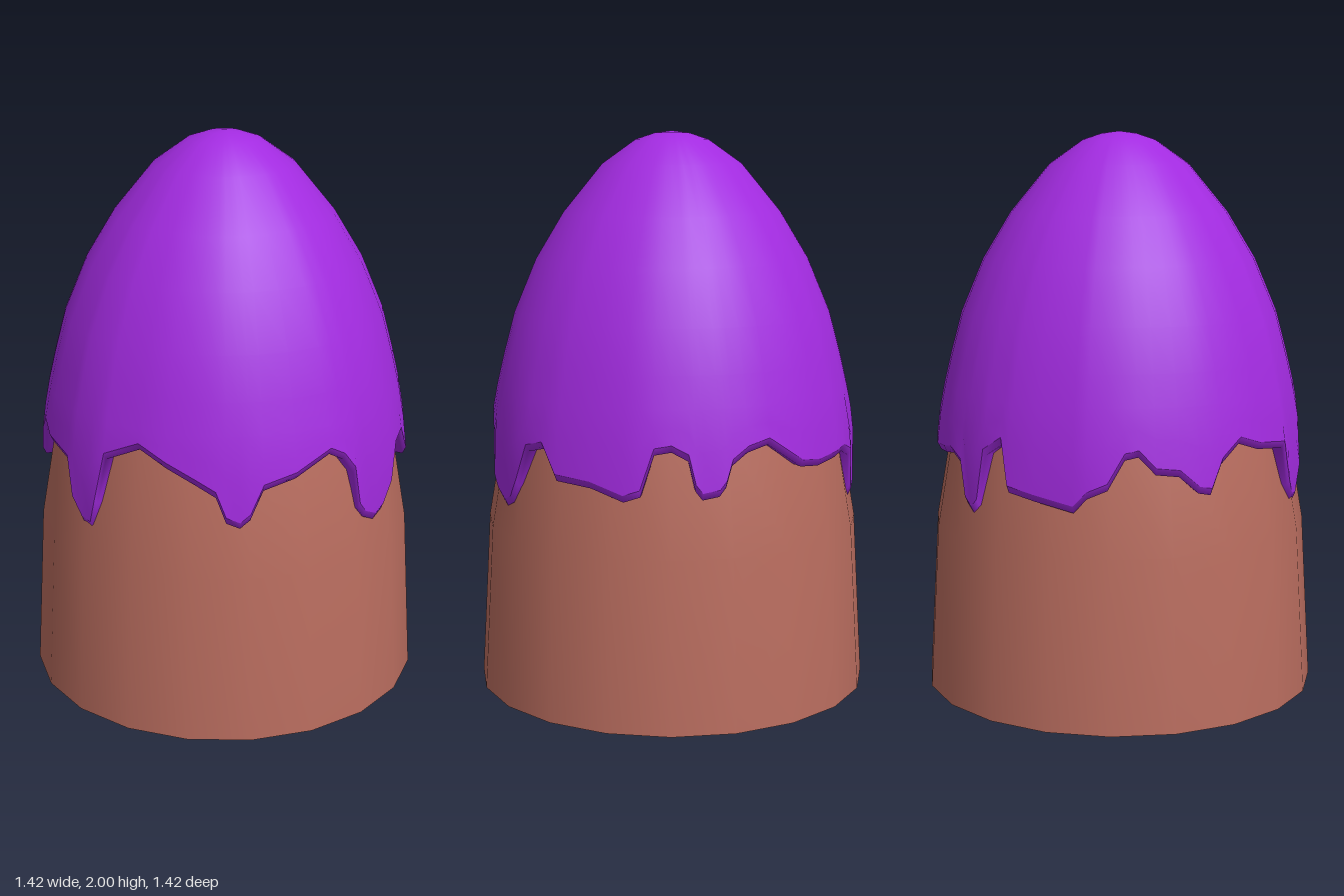
import * as THREE from 'three';

// Radius of a [radius, height] profile (ordered upwards) at height y
function radiusAt(profile, y) {
  for (let i = 1; i < profile.length; i++) {
    const [r0, y0] = profile[i - 1], [r1, y1] = profile[i];
    if (y <= y1) return r0 + (r1 - r0) * (y - y0) / (y1 - y0);
  }
  return 0;
}

const BODY = [[0.71, 0], [0.675, 0.6], [0.605, 1.0], [0.52, 1.35], [0.42, 1.58], [0.25, 1.78], [0, 1.9]];
const ICING = [[0.655, 0.65], [0.664, 0.75], [0.672, 0.85], [0.655, 1.0], [0.636, 1.1]];
const DOME = [[0, 2], [0.06, 1.993], [0.13, 1.97], [0.25, 1.885], [0.39, 1.715],
  [0.49, 1.55], [0.57, 1.36], [0.61, 1.21], [0.636, 1.1]];

// Lower edge of the icing: angle in degrees (0 = front, 90 = +x), height
const DRIPS = [
  [-88, 0.70], [-85, 0.80], [-82, 0.97], [-70, 1.03], [-61, 0.98], [-52, 0.93], [-46, 0.89],
  [-43, 0.80], [-39, 0.78], [-36, 0.81], [-32, 0.91], [-22, 0.94], [-10, 1.0], [-5, 0.97], [-1, 0.91],
  [1, 0.77], [4, 0.73], [9.6, 0.70], [14, 0.72], [18.5, 0.79], [23, 0.92], [30, 0.94], [36, 0.84],
  [48, 0.83], [58, 0.79], [63, 0.81], [67, 0.95], [72, 0.96], [77, 0.93], [79, 0.83],
  [81, 0.80], [86, 0.81], [88, 0.84], [90, 0.91], [95, 0.95], [102, 0.97], [114, 0.88], [122, 0.87],
  [132, 0.88], [138, 0.89], [145, 0.86], [147, 0.73], [150, 0.70], [153, 0.73], [156, 0.91],
  [163, 0.96], [166, 0.80], [175, 0.78], [187, 0.75], [191, 0.80], [197, 0.83], [202, 0.93],
  [206, 0.94], [211, 0.88], [218, 0.87], [224, 0.81], [228, 0.80], [232, 0.90], [239, 0.96], [247, 0.93],
  [261, 0.91], [264, 0.77], [268, 0.71],
];

// Closed band: column(edge) gives [radius, height] points, top to bottom
function band(column) {
  const pos = [], index = [];
  const n = DRIPS.length;
  let rows = 0;
  for (const [deg, edge] of DRIPS) {
    const a = THREE.MathUtils.degToRad(deg);
    const pts = column(edge);
    rows = pts.length;
    for (const [r, y] of pts) pos.push(r * Math.sin(a), y, r * Math.cos(a));
  }
  for (let i = 0; i < n; i++) {
    for (let j = 0; j < rows - 1; j++) {
      const a = i * rows + j, b = ((i + 1) % n) * rows + j;
      index.push(a, a + 1, b + 1);
      if (pos[a * 3 + 1] < 2) index.push(a, b + 1, b);
    }
  }
  const geo = new THREE.BufferGeometry();
  geo.setAttribute('position', new THREE.Float32BufferAttribute(pos, 3));
  geo.setIndex(index);
  geo.computeVertexNormals();
  return geo;
}

export function createModel() {
  const group = new THREE.Group();
  const material = (color) => new THREE.MeshStandardMaterial({ color, side: THREE.DoubleSide });
  const add = (name, geo, mat) => {
    const mesh = new THREE.Mesh(geo, mat);
    mesh.name = name;
    group.add(mesh);
  };
  const brown = material(0xb86c5e), purple = material(0xa22be0);

  // Hollow body, open at the bottom
  add('body', new THREE.LatheGeometry(BODY.map(([r, y]) => new THREE.Vector2(r, y)), 20), brown);

  // Smooth icing dome running down to the drips
  const outer = (y) => [radiusAt(ICING, y), y];
  add('icing', band((edge) => {
    const low = edge + 0.025;
    return [...DOME, outer((1.1 + low) / 2), outer(low)];
  }), purple);

  // Thick rim from the icing edge back to the body
  add('icingRim', band((edge) => {
    const [r, y] = outer(edge + 0.025);
    return [[r, y], [r - 0.012, edge], [radiusAt(BODY, edge) - 0.015, edge + 0.005]];
  }), purple);

  return group;
}
